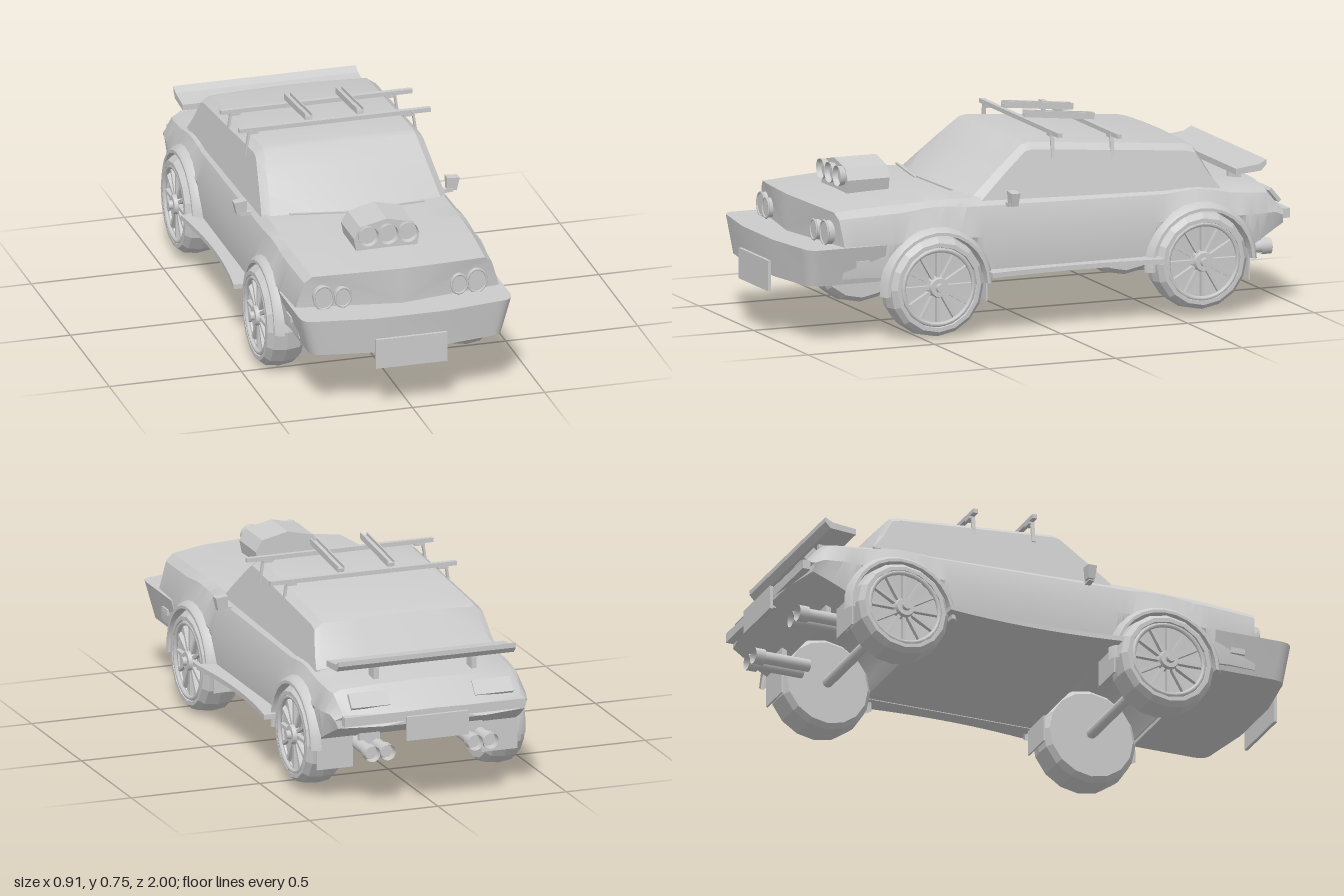
import * as THREE from 'three';
import { toCreasedNormals } from 'three/addons/utils/BufferGeometryUtils.js';

const grey = new THREE.MeshStandardMaterial({ color: 0xcccccc, side: THREE.DoubleSide });
const faceted = new THREE.MeshStandardMaterial({ color: 0xcccccc, side: THREE.DoubleSide, flatShading: true });
const AXLES = [{ z: 0.445, y: 0.195, r: 0.195 }, { z: -0.6, y: 0.205, r: 0.188 }];

export function createModel() {
  const car = new THREE.Group();
  car.name = 'rallyCar';

  const add = (name, geo, x = 0, y = 0, z = 0, parent = car, mat = grey) => {
    const m = new THREE.Mesh(geo, mat);
    m.name = name;
    m.position.set(x, y, z);
    parent.add(m);
    return m;
  };
  const box = (name, w, h, d, x, y, z, parent) => add(name, new THREE.BoxGeometry(w, h, d), x, y, z, parent);
  // Piecewise-linear lookup in a list of [z, value], z descending
  const at = (keys, z) => {
    if (z >= keys[0][0]) return keys[0][1];
    for (let i = 1; i < keys.length; i++) {
      const [z0, v0] = keys[i - 1], [z1, v1] = keys[i];
      if (z >= z1) return v0 + (v1 - v0) * (z0 - z) / (z0 - z1);
    }
    return keys[keys.length - 1][1];
  };
  // Skin over half sections (bottom centre to top centre), mirrored in x, capped at both ends
  const loft = (halves, crease) => {
    const rings = halves.map(h => [...h, ...h.slice(1, -1).reverse().map(([x, y, z]) => [-x, y, z])]);
    const n = rings[0].length, pos = [];
    const tri = (...p) => p.forEach(q => pos.push(...q));
    for (let i = 0; i < rings.length - 1; i++) for (let j = 0; j < n; j++) {
      const k = (j + 1) % n, A = rings[i], B = rings[i + 1];
      tri(A[j], B[j], B[k]);
      tri(A[j], B[k], A[k]);
    }
    [0, rings.length - 1].forEach((e, back) => {
      const R = rings[e], a = R[0], b = R[n / 2];
      const mid = [0, (a[1] + b[1]) / 2, (a[2] + b[2]) / 2];
      for (let j = 0; j < n; j++) {
        const k = (j + 1) % n;
        back ? tri(mid, R[k], R[j]) : tri(mid, R[j], R[k]);
      }
    });
    const g = new THREE.BufferGeometry();
    g.setAttribute('position', new THREE.Float32BufferAttribute(pos, 3));
    return toCreasedNormals(g, crease);
  };

  // Lower body with wheel arches cut into its lower edge
  const topKeys = [[0.87, 0.495], [0.6, 0.507], [0.35, 0.512], [-0.6, 0.49], [-0.72, 0.475], [-0.89, 0.457], [-0.97, 0.365]];
  const sillKeys = [[0.66, 0.24], [0.6, 0.22], [-0.75, 0.22], [-0.8, 0.24], [-0.97, 0.315]];
  const widthKeys = [[0.87, 0.385], [0.6, 0.395], [-0.85, 0.395], [-0.97, 0.375]];
  const stations = [0.87, 0.8, 0.72, 0.2, 0, -0.2, -0.36, -0.84, -0.89, -0.93, -0.97];
  for (const a of AXLES) for (let i = 0; i <= 12; i++) stations.push(a.z + a.r * Math.cos(0.1 + i * (Math.PI - 0.2) / 12));
  for (const a of AXLES) stations.push(a.z + a.r + 0.002, a.z - a.r - 0.002);
  stations.sort((a, b) => b - a);
  const bodyHalf = z => {
    let bot = at(sillKeys, z);
    for (const a of AXLES) {
      const d = Math.abs(z - a.z);
      if (d < a.r) bot = Math.max(bot, a.y + Math.sqrt(a.r * a.r - d * d));
    }
    const top = at(topKeys, z), w = at(widthKeys, z);
    const mid = Math.min(Math.max(0.36, bot + 0.006), top - 0.02);
    const bow = x => z - 0.07 * (x / 0.4) ** 2 * Math.max(0, (z - 0.65) / 0.22)
      + 0.05 * (x / 0.4) ** 4 * Math.max(0, (-z - 0.8) / 0.17);
    return [[0, bot], [0.2, bot], [w - 0.012, bot], [w, mid], [w - 0.03, mid + (top - mid) * 0.72],
      [w - 0.058, top - 0.014], [0.2, top - 0.004], [0, top]].map(([x, y]) => [x, y, bow(x)]);
  };
  add('body', loft(stations.map(bodyHalf), 0.5));

  // Cabin: windscreen, roof and rear window
  const roofKeys = [[0.35, 0.5], [0.075, 0.675], [0.04, 0.682], [-0.57, 0.632], [-0.605, 0.622], [-0.69, 0.475]];
  const side = y => 0.352 - 0.036 * (y - 0.47) / 0.18;
  const cabinHalf = z => {
    const top = at(roofKeys, z), edge = Math.max(0.465, top - 0.03);
    const bow = 0.085 * Math.max(0, (z - 0.03) / 0.32);
    return [[0, 0.46], [side(0.46), 0.46], [side(edge), edge], [side(edge) - 0.03, Math.max(0.468, top - 0.008)],
      [0.15, top - 0.002], [0, top]].map(([x, y]) => [x, y, z - bow * (x / 0.35) ** 2]);
  };
  add('cabin', loft([0.35, 0.25, 0.16, 0.075, 0.04, -0.25, -0.57, -0.605, -0.65, -0.69].map(cabinHalf), 0.45));

  // Front bumper, narrowing downwards
  const plan = new THREE.Shape();
  plan.moveTo(-0.4, -0.645);
  plan.lineTo(-0.4, -0.9);
  plan.quadraticCurveTo(-0.4, -0.955, -0.34, -0.955);
  plan.lineTo(-0.14, -0.985);
  plan.lineTo(0.14, -0.985);
  plan.lineTo(0.34, -0.955);
  plan.quadraticCurveTo(0.4, -0.955, 0.4, -0.9);
  plan.lineTo(0.4, -0.645);
  const bumper = new THREE.ExtrudeGeometry(plan, { depth: 0.14, bevelEnabled: false, curveSegments: 6 });
  bumper.rotateX(-Math.PI / 2);
  const bp = bumper.attributes.position;
  for (let i = 0; i < bp.count; i++) if (bp.getY(i) < 0.07) {
    bp.setX(i, bp.getX(i) * 0.91);
    if (bp.getZ(i) > 0.7) bp.setZ(i, bp.getZ(i) - 0.015);
  }
  add('frontBumper', toCreasedNormals(bumper, 0.5), 0, 0.22, 0);
  box('frontPlate', 0.27, 0.113, 0.012, -0.003, 0.225, 0.994);
  box('rearBumperStrip', 0.7, 0.035, 0.03, 0, 0.345, -0.955);
  box('rearPlate', 0.24, 0.09, 0.012, 0, 0.305, -0.994);
  box('rearPlateMount', 0.1, 0.04, 0.05, 0, 0.32, -0.97);

  // Wheels: tyre, rim ring, spokes and hub
  const wheel = (s, a, r) => {
    const g = new THREE.Group();
    g.name = a.z > 0 ? 'frontWheel' : 'rearWheel';
    const pts = [[0, -0.07], [0.165, -0.07], [0.183, -0.05], [0.19, 0], [0.183, 0.05], [0.165, 0.07],
      [0.15, 0.07], [0.143, 0.045], [0, 0.04]].map(([x, y]) => new THREE.Vector2(x * r / 0.19, y));
    add('tyre', new THREE.LatheGeometry(pts, 16), 0, 0, 0, g, faceted);
    add('rimRing', new THREE.TorusGeometry(0.138, 0.009, 6, 32).rotateX(Math.PI / 2), 0, 0.062, 0, g);
    for (let i = 0; i < 12; i++) {
      const spoke = new THREE.BoxGeometry(0.105, 0.018, 0.013).translate(0.085, 0.052, 0).rotateY(i * Math.PI / 6);
      add('spoke', spoke, 0, 0, 0, g);
    }
    add('hub', new THREE.CylinderGeometry(0.034, 0.042, 0.03, 16), 0, 0.06, 0, g);
    add('hubNut', new THREE.CylinderGeometry(0.016, 0.018, 0.02, 8), 0, 0.08, 0, g);
    g.rotation.z = -s * Math.PI / 2;
    g.position.set(s * 0.355 - 0.008, r, a.z);
    if (a.z < 0) g.position.y += 0.02;
    car.add(g);
  };
  for (const a of AXLES) {
    const r = a.z > 0 ? 0.19 : 0.185;
    add('axle', new THREE.CylinderGeometry(0.02, 0.02, 0.6, 8).rotateZ(Math.PI / 2), 0, a.y, a.z);
    for (const s of [-1, 1]) {
      wheel(s, a, r);
      // Flared arch: outer lip falls back to the bodywork
      const prof = [[0.384, 0.222], [0.408, 0.213], [0.418, 0.203], [0.418, 0.192], [0.384, 0.19]]
        .map(([x, q]) => new THREE.Vector2(q, x));
      const flare = new THREE.LatheGeometry(prof, 14, 0, Math.PI + 0.1).rotateZ(-s * Math.PI / 2);
      if (s > 0) flare.rotateX(Math.PI);
      // Turn the half ring so that it arches over the wheel
      flare.computeBoundingBox();
      const c = flare.boundingBox.getCenter(new THREE.Vector3());
      flare.rotateX(-Math.atan2(c.z, c.y));
      add('archFlare', toCreasedNormals(flare, 0.6), 0, a.y - 0.005, a.z);
    }
  }

  // Hood intake with three trumpets
  const intake = new THREE.Shape([[-0.115, 0], [-0.125, 0.05], [-0.1, 0.092], [0, 0.115], [0.1, 0.092], [0.125, 0.05], [0.115, 0]]
    .map(p => new THREE.Vector2(...p)));
  add('hoodIntake', new THREE.ExtrudeGeometry(intake, { depth: 0.165, bevelEnabled: false }), -0.003, 0.5, 0.515);
  for (const x of [-0.075, 0, 0.075]) {
    add('intakeTrumpet', new THREE.CylinderGeometry(0.038, 0.034, 0.03, 20, 1, true).rotateX(Math.PI / 2), x - 0.003, 0.561, 0.688);
    add('intakeThroat', new THREE.CircleGeometry(0.035, 20), x - 0.003, 0.561, 0.683);
  }

  // Rear wing
  const blade = new THREE.Shape([[0.76, 0.5], [0.76, 0.522], [0.85, 0.532], [0.88, 0.548], [0.88, 0.53], [0.86, 0.508]]
    .map(p => new THREE.Vector2(...p)));
  const wing = new THREE.ExtrudeGeometry(blade, { depth: 0.69, bevelEnabled: false });
  add('rearWing', wing.rotateY(Math.PI / 2), -0.35, 0, 0);
  for (const x of [-0.2, 0.18]) box('wingStand', 0.02, 0.06, 0.05, x, 0.483, -0.82);

  // Roof rack
  for (const [z, y] of [[-0.05, 0.707], [-0.285, 0.685]]) {
    box('rackCrossbar', 0.725, 0.016, 0.018, 0.015, y, z);
    for (const s of [-1, 1]) {
      const leg = box('rackLeg', 0.008, 0.095, 0.014, s * 0.316, y - 0.045, z + 0.005);
      leg.rotation.z = s * 0.15;
      box('rackClamp', 0.04, 0.008, 0.02, s * 0.295, y - 0.012, z);
    }
  }
  for (const x of [-0.09, 0.105]) {
    box('rackRail', 0.026, 0.013, 0.275, x, 0.722, -0.16).rotation.x = -0.105;
    for (const e of [-0.012, 0.012]) box('rackRailLip', 0.004, 0.02, 0.275, x + e, 0.73, -0.16).rotation.x = -0.105;
  }

  // Parts on both sides
  for (const s of [-1, 1]) {
    for (const [x, r, z] of [[0.29, 0.036, 0.82], [0.22, 0.03, 0.832]]) {
      const lamp = new THREE.Group();
      lamp.name = 'headlight';
      add('lampBody', new THREE.CylinderGeometry(r, r, 0.05, 24).rotateX(Math.PI / 2), 0, 0, 0, lamp);
      add('lampBezel', new THREE.TorusGeometry(r, 0.004, 6, 24), 0, 0, 0.025, lamp);
      lamp.scale.y = 1.22;
      lamp.position.set(s * x, 0.403, z);
      car.add(lamp);
    }
    // Side windows following the lean of the cabin
    for (const pts of [[[0.2, 0.5], [0.055, 0.61], [-0.235, 0.595], [-0.255, 0.5]], [[-0.275, 0.5], [-0.255, 0.594], [-0.55, 0.585], [-0.61, 0.5]]]) {
      const glass = new THREE.ShapeGeometry(new THREE.Shape(pts.map(p => new THREE.Vector2(...p))));
      const p = glass.attributes.position;
      for (let i = 0; i < p.count; i++) p.setXYZ(i, s * (side(p.getY(i)) + 0.003), p.getY(i), p.getX(i));
      glass.computeVertexNormals();
      add('sideWindow', glass);
    }
    // Side step with ends wider than its middle
    const step = new THREE.Shape();
    step.moveTo(-0.25, 0.37);
    step.lineTo(-0.25, 0.456);
    step.quadraticCurveTo(0.09, 0.405, 0.43, 0.456);
    step.lineTo(0.43, 0.37);
    const sg = new THREE.ExtrudeGeometry(step, { depth: 0.018, bevelEnabled: false });
    sg.rotateX(-Math.PI / 2).rotateY(Math.PI / 2);
    add('sideStep', s > 0 ? sg.rotateZ(Math.PI) : sg, 0, s > 0 ? 0.235 : 0.217, 0);
    // Mirror
    const mirror = add('mirror', new THREE.CylinderGeometry(0.034, 0.026, 0.05, 4, 1).rotateY(Math.PI / 4), s * 0.4, 0.493, 0.145, car, faceted);
    mirror.scale.z = 0.7;
    mirror.rotation.z = s * -0.1;
    box('mirrorArm', 0.07, 0.014, 0.02, s * 0.368, 0.467, 0.15).rotation.z = s * 0.1;
    // Lights, flaps, pipes and wipers
    box('sideMarker', 0.012, 0.022, 0.055, s * 0.386, 0.295, 0.735);
    box('tailLight', 0.15, 0.06, 0.014, s * 0.24, 0.408, -0.925).rotation.x = 0.7;
    box('frontMudFlap', 0.14, 0.11, 0.006, s * 0.32, 0.175, 0.247);
    box('rearMudFlap', 0.14, 0.14, 0.006, s * 0.32, 0.19, -0.79);
    for (const x of [0.17, 0.23]) {
      add('exhaustPipe', new THREE.CylinderGeometry(0.023, 0.023, 0.2, 16).rotateX(Math.PI / 2), s * x, 0.205, -0.82);
      add('exhaustTip', new THREE.CylinderGeometry(0.03, 0.03, 0.04, 16, 1, true).rotateX(Math.PI / 2), s * x, 0.205, -0.92);
    }
    box('exhaustHanger', 0.08, 0.06, 0.02, s * 0.2, 0.235, -0.82);
    box('wiper', 0.25, 0.006, 0.008, s * 0.13 - 0.01, 0.515, 0.337).rotation.set(0, s * 0.12, -0.03);
  }
  return car;
}
